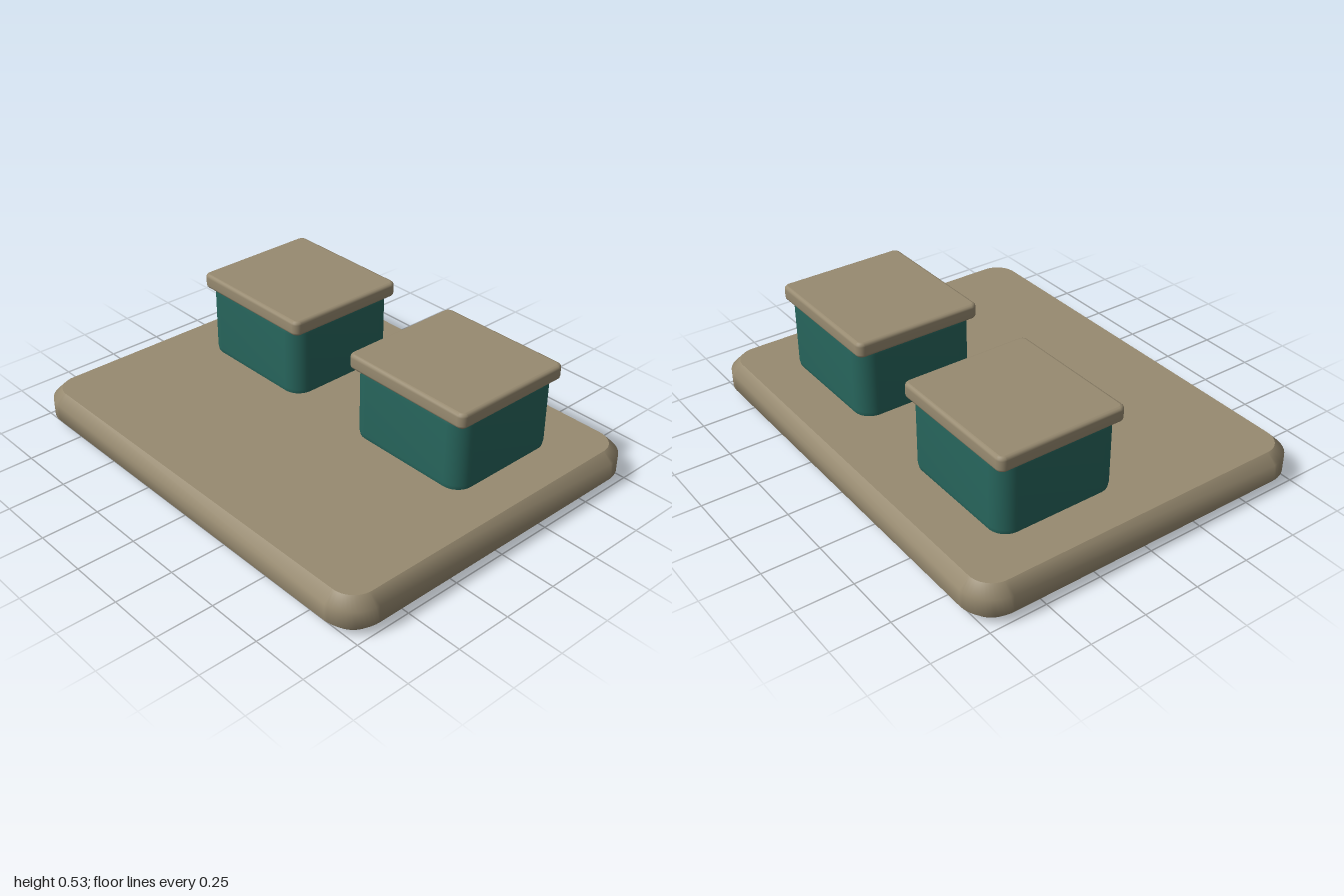
import * as THREE from 'three';
import { mergeVertices, mergeGeometries } from 'three/addons/utils/BufferGeometryUtils.js';

// Rounded rectangle centred on the origin
function roundedRect(w, d, r) {
  const x = w / 2, y = d / 2, s = new THREE.Shape();
  s.moveTo(-x + r, -y);
  s.lineTo(x - r, -y);
  s.absarc(x - r, -y + r, r, -Math.PI / 2, 0);
  s.lineTo(x, y - r);
  s.absarc(x - r, y - r, r, 0, Math.PI / 2);
  s.lineTo(-x + r, y);
  s.absarc(-x + r, y - r, r, Math.PI / 2, Math.PI);
  s.lineTo(-x, -y + r);
  s.absarc(-x + r, -y + r, r, Math.PI, Math.PI * 1.5);
  return s;
}

// Slab standing on y = 0 with bevelled rims: flat caps, smooth sides
function slab(w, h, d, r, bevel, bevelHeight, bevelSegments) {
  const solid = new THREE.ExtrudeGeometry(roundedRect(w - 2 * bevel, d - 2 * bevel, r - bevel), {
    depth: h - 2 * bevelHeight, bevelEnabled: true, bevelSize: bevel,
    bevelThickness: bevelHeight, bevelSegments, curveSegments: 6,
  });
  solid.translate(0, 0, bevelHeight).rotateX(-Math.PI / 2);
  const pos = solid.getAttribute('position').array;
  const pieces = solid.groups.map(({ start, count }) => {
    const g = new THREE.BufferGeometry();
    g.setAttribute('position', new THREE.BufferAttribute(pos.slice(start * 3, (start + count) * 3), 3));
    const merged = mergeVertices(g, 1e-4);
    merged.computeVertexNormals();
    return merged;
  });
  return mergeGeometries(pieces);
}

export function createModel() {
  const model = new THREE.Group();
  model.name = 'twinBoxPlatform';
  const tan = new THREE.MeshStandardMaterial({ color: 0x978a70 });
  tan.name = 'tan';
  const teal = new THREE.MeshStandardMaterial({ color: 0x27655c });
  teal.name = 'teal';

  const add = (parent, name, geometry, material, x, y, z) => {
    const mesh = new THREE.Mesh(geometry, material);
    mesh.name = name;
    mesh.position.set(x, y, z);
    parent.add(mesh);
  };

  // Base plate
  add(model, 'base', slab(2, 0.16, 1.565, 0.14, 0.042, 0.042, 1), tan, 0, 0, 0);

  // Two lidded boxes towards the back
  const bodyGeometry = slab(0.6, 0.41, 0.555, 0.08, 0.05, 0.07, 3);
  const lidGeometry = slab(0.63, 0.066, 0.58, 0.03, 0.015, 0.015, 3);
  for (const side of [1, -1]) {
    const box = new THREE.Group();
    box.name = side > 0 ? 'leftBox' : 'rightBox';
    box.position.set(side * 0.472, 0, -0.26);
    add(box, 'boxBody', bodyGeometry, teal, 0, 0.11, 0);
    add(box, 'boxLid', lidGeometry, tan, 0, 0.465, 0);
    model.add(box);
  }
  return model;
}
